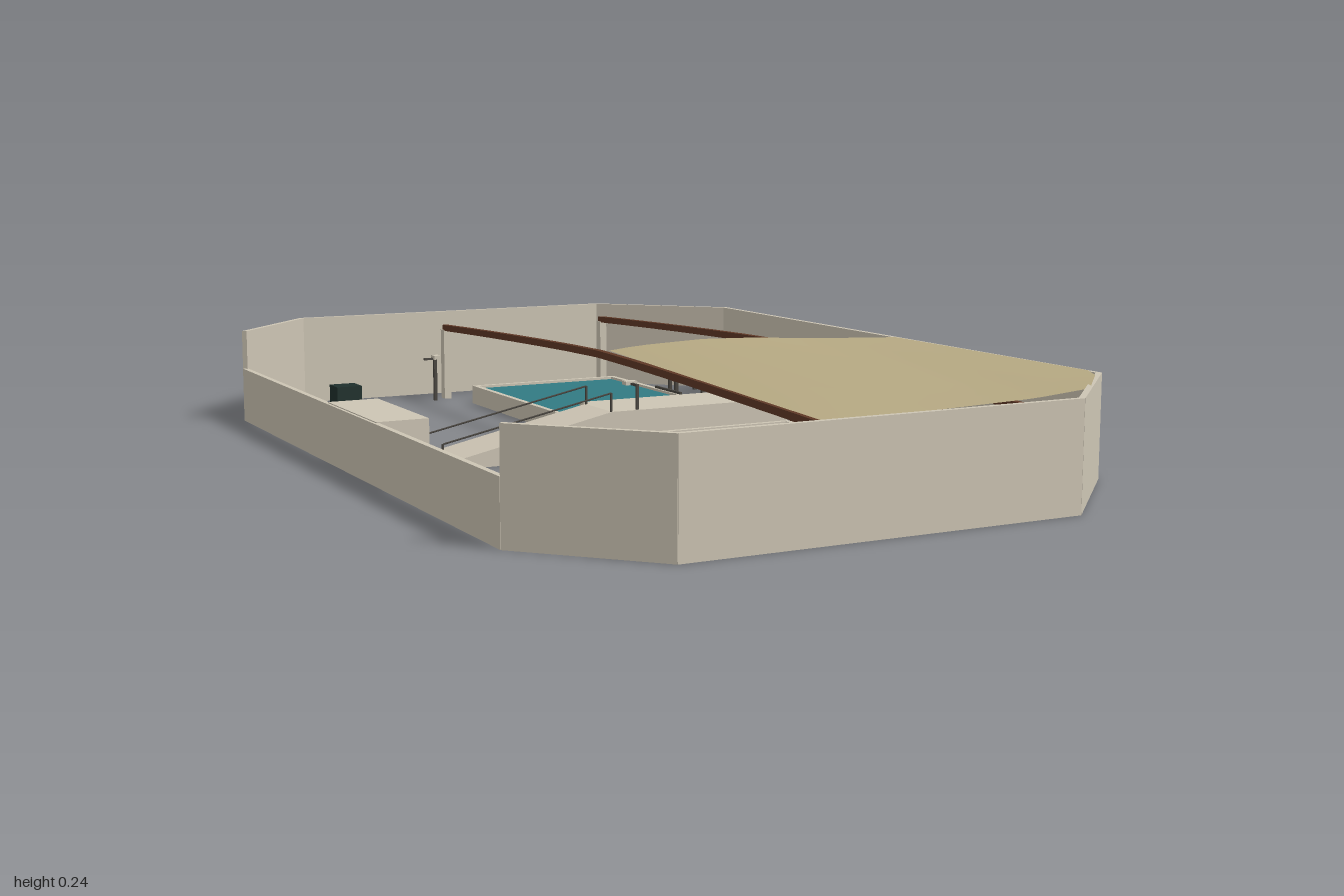
import * as THREE from 'three';

const mat = (name, color, side = THREE.FrontSide) => {
  const m = new THREE.MeshStandardMaterial({ color, side });
  m.name = name;
  return m;
};

export function createModel() {
  const stone = mat('stone', 0xcdc5b4);
  const tan = mat('tan canvas', 0xb5a882, THREE.DoubleSide);
  const brown = mat('brown wood', 0x5e3826);
  const deepWater = mat('deep water', 0x327a83);
  const brightWater = mat('bright water', 0x62aeb1);
  const dark = mat('dark green', 0x1f302c);
  const metal = mat('dark metal', 0x4a4640);

  const model = new THREE.Group();
  const add = (name, geo, m, parent = model) => {
    const mesh = new THREE.Mesh(geo, m);
    mesh.name = name;
    parent.add(mesh);
    return mesh;
  };
  // Box given by its minimum and maximum corners
  const block = (name, m, x0, x1, y0, y1, z0, z1, parent = model) => {
    const mesh = add(name, new THREE.BoxGeometry(x1 - x0, y1 - y0, z1 - z0), m, parent);
    mesh.position.set((x0 + x1) / 2, (y0 + y1) / 2, (z0 + z1) / 2);
    return mesh;
  };

  // Perimeter wall; the closing stretch at -x is lower
  const plan = [[-0.65, -0.77], [-0.44, -0.994], [0.39, -0.994], [0.65, -0.74],
    [0.65, 0.74], [0.39, 0.994], [-0.44, 0.994], [-0.65, 0.77]];
  plan.forEach(([ax, az], i) => {
    const [bx, bz] = plan[(i + 1) % plan.length];
    const dx = bx - ax, dz = bz - az;
    const h = i === plan.length - 1 ? 0.125 : 0.215;
    const wall = add('perimeterWall', new THREE.BoxGeometry(Math.hypot(dx, dz) + 0.004, h, 0.012), stone);
    wall.position.set((ax + bx) / 2, h / 2, (az + bz) / 2);
    wall.rotation.y = -Math.atan2(dz, dx);
  });

  // Pools: basin slab, raised rim and water
  const pool = (name, water, x0, x1, z0, z1) => {
    const g = new THREE.Group();
    g.name = name;
    model.add(g);
    const r = 0.013, h = 0.045;
    block('basin', stone, x0, x1, 0, 0.03, z0, z1, g);
    block('rim', stone, x0, x0 + r, 0.03, h, z0, z1, g);
    block('rim', stone, x1 - r, x1, 0.03, h, z0, z1, g);
    block('rim', stone, x0 + r, x1 - r, 0.03, h, z0, z0 + r, g);
    block('rim', stone, x0 + r, x1 - r, 0.03, h, z1 - r, z1, g);
    block('water', water, x0 + r, x1 - r, 0.03, 0.039, z0 + r, z1 - r, g);
  };
  pool('backPool', deepWater, -0.065, 0.335, -0.78, -0.12);
  pool('frontPool', brightWater, -0.08, 0.35, 0.06, 0.89);

  // Raised deck between the pools, with a step and a sloping ramp
  block('deck', stone, -0.09, 0.35, 0, 0.095, -0.1, 0.06);
  block('deckStep', stone, 0.04, 0.16, 0, 0.07, -0.14, -0.1);
  const ramp = new THREE.Shape([[-0.48, 0], [-0.09, 0], [-0.09, 0.095], [-0.48, 0.012]]
    .map(([x, y]) => new THREE.Vector2(x, y)));
  const rampMesh = add('ramp', new THREE.ExtrudeGeometry(ramp, { depth: 0.13, bevelEnabled: false }), stone);
  rampMesh.position.z = -0.07;
  // Thin handrails along both sides of the ramp
  for (const z of [-0.066, 0.056]) {
    const path = new THREE.LineCurve3(new THREE.Vector3(-0.475, 0.055, z), new THREE.Vector3(-0.09, 0.135, z));
    add('rampHandrail', new THREE.TubeGeometry(path, 1, 0.002, 5), metal);
    block('handrailPost', metal, -0.477, -0.473, 0, 0.055, z - 0.002, z + 0.002);
    block('handrailPost', metal, -0.092, -0.088, 0.09, 0.135, z - 0.002, z + 0.002);
  }

  // Deck fittings
  const fitting = (x, z, dz) => {
    block('fittingPost', metal, x - 0.003, x + 0.003, 0.095, 0.15, z - 0.003, z + 0.003);
    block('fittingArm', metal, x - 0.003, x + 0.003, 0.145, 0.15, z + Math.min(0, dz), z + Math.max(0, dz));
    block('fittingHead', stone, x - 0.014, x + 0.014, 0.145, 0.153, z + dz - 0.01, z + dz + 0.01);
  };
  fitting(0.293, -0.09, 0.06);
  fitting(-0.027, 0.055, -0.035);
  block('poolRail', metal, 0.162, 0.168, 0.095, 0.1, -0.22, -0.1);

  // Long arched roof beams on end posts
  const railY = z => 0.19 + 0.031 * (1 - Math.abs(z / 0.9) ** 1.3);
  for (const x of [-0.09, 0.357]) {
    const pts = [];
    for (let i = 0; i <= 12; i++) {
      const z = -0.9 + 0.15 * i;
      pts.push([z, railY(z)]);
    }
    const outline = [...pts, ...pts.map(([z, y]) => [z, y - 0.015]).reverse()];
    const shape = new THREE.Shape(outline.map(([z, y]) => new THREE.Vector2(-z, y)));
    const geo = new THREE.ExtrudeGeometry(shape, { depth: 0.014, bevelEnabled: false });
    const beam = add('roofBeam', geo.rotateY(Math.PI / 2), brown);
    beam.position.x = x - 0.007;
    for (const z of [-0.895, 0.895]) {
      block('beamPost', stone, x - 0.009, x + 0.009, 0, 0.178, z - 0.011, z + 0.011);
    }
  }

  // Curved canopy, blending from a high rear edge to a lower front edge
  const sample = (table, x) => {
    for (let i = 1; i < table.length; i++) {
      const [x0, y0] = table[i - 1], [x1, y1] = table[i];
      if (x <= x1) return y0 + (y1 - y0) * (x - x0) / (x1 - x0);
    }
    return table[table.length - 1][1];
  };
  const rear = [[-0.097, 0.227], [-0.03, 0.234], [0.13, 0.24], [0.27, 0.236], [0.4, 0.227], [0.64, 0.217]];
  const front = [[-0.097, 0.194], [0.1, 0.197], [0.36, 0.204], [0.5, 0.215], [0.64, 0.218]];
  const canopy = new THREE.PlaneGeometry(1, 1, 16, 14).rotateX(-Math.PI / 2);
  const p = canopy.attributes.position;
  for (let i = 0; i < p.count; i++) {
    const t = p.getZ(i) + 0.5, z = 0.06 + 0.84 * t;
    const xMax = 0.64 - Math.max(0, z - 0.745) * 0.97;
    const x = -0.097 + (p.getX(i) + 0.5) * (xMax + 0.097);
    p.setXYZ(i, x, sample(rear, x) * (1 - t) + sample(front, x) * t, z);
  }
  canopy.computeVertexNormals();
  add('canopy', canopy, tan);

  // Small shelter below the canopy
  block('shelterRoof', tan, 0.41, 0.63, 0.125, 0.135, 0.06, 0.3);
  block('shelterRoof', tan, 0.365, 0.41, 0.125, 0.135, 0, 0.3);
  for (const [x, z] of [[0.39, 0.02], [0.39, 0.28], [0.61, 0.08], [0.61, 0.28]]) {
    block('shelterPost', brown, x - 0.006, x + 0.006, 0, 0.125, z - 0.006, z + 0.006);
  }
  block('shelterCounter', brown, 0.44, 0.6, 0.04, 0.05, 0.2, 0.26);

  // Entrance booth on the low wall, with its door ajar
  block('boothRoof', stone, -0.65, -0.54, 0.115, 0.127, -0.15, 0.15);
  block('boothSide', stone, -0.65, -0.54, 0, 0.115, 0.142, 0.15);
  block('boothSide', stone, -0.65, -0.54, 0, 0.115, -0.15, -0.142);
  block('boothDoor', brown, -0.592, -0.588, 0.03, 0.07, -0.19, -0.15);

  // Corner cabinet and layered shelf
  block('cabinet', dark, -0.38, -0.315, 0, 0.045, -0.965, -0.905);
  for (const y of [0.008, 0.034, 0.06]) {
    block('shelf', stone, -0.38, -0.315, y, y + 0.009, 0.88, 0.975);
  }
  block('shelfBack', stone, -0.379, -0.316, 0, 0.06, 0.962, 0.974);

  // Slatted arbour with a table and benches
  for (const x of [0.48, 0.555]) {
    for (const z of [-0.735, -0.56]) {
      block('arbourPost', metal, x - 0.004, x + 0.004, 0, 0.11, z - 0.004, z + 0.004);
    }
    block('arbourBeam', stone, x - 0.004, x + 0.004, 0.11, 0.118, -0.745, -0.55);
  }
  for (let i = 0; i < 13; i++) {
    const z = -0.74 + i * 0.0153;
    block('arbourSlat', stone, 0.475, 0.56, 0.118, 0.122, z - 0.003, z + 0.003);
  }
  block('arbourTable', tan, 0.5, 0.54, 0.05, 0.056, -0.73, -0.57);
  for (const x of [0.487, 0.549]) {
    block('arbourBench', brown, x - 0.006, x + 0.006, 0.028, 0.034, -0.72, -0.575);
  }

  // Lamps with a short arm
  for (const [x, z] of [[-0.13, -0.87], [-0.13, 0.865], [0.45, -0.645], [0.45, 0]]) {
    block('lampPost', metal, x - 0.004, x + 0.004, 0, 0.11, z - 0.004, z + 0.004);
    block('lampArm', metal, x - 0.03, x, 0.105, 0.11, z - 0.003, z + 0.003);
    block('lampHead', stone, x - 0.006, x + 0.012, 0.106, 0.116, z - 0.011, z + 0.011);
  }
  return model;
}
